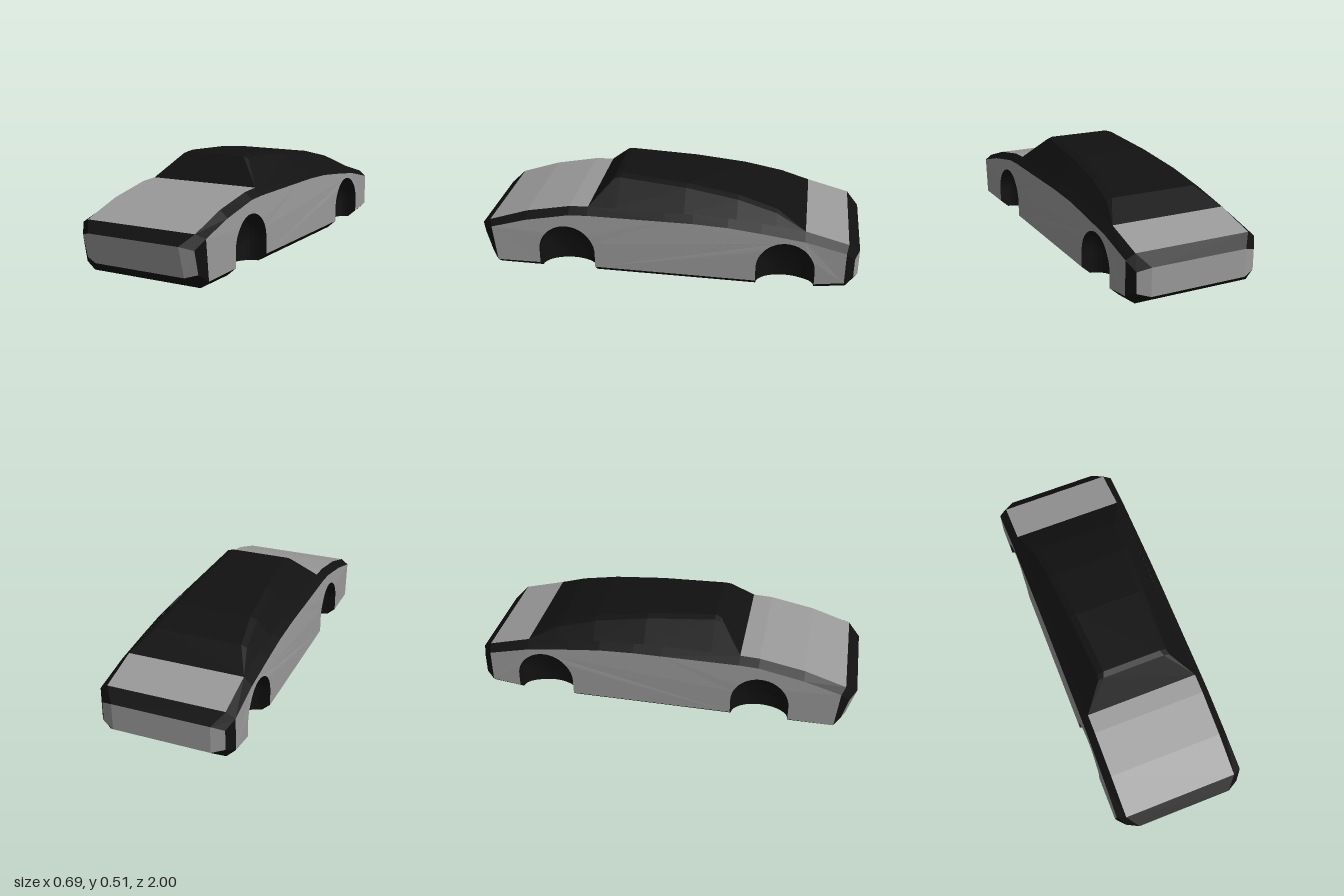
import * as THREE from 'three';

const grey = new THREE.MeshStandardMaterial({ color: 0x999999, side: THREE.DoubleSide });
grey.name = 'panel grey';
const black = new THREE.MeshStandardMaterial({ color: 0x111111, side: THREE.DoubleSide });
black.name = 'body black';

// Shoulder line, front to back: side panel top (z, y), then deck edge (z, y)
const SHOULDER = [
  [0.92, 0.235, 0.94, 0.255], [0.73, 0.29, 0.73, 0.325], [0.5, 0.335, 0.5, 0.37],
  [0.4, 0.34, 0.4, 0.375], [0, 0.34, 0, 0.375], [-0.15, 0.34, -0.15, 0.375],
  [-0.33, 0.333, -0.33, 0.368], [-0.5, 0.315, -0.5, 0.352],
  [-0.72, 0.288, -0.72, 0.328], [-0.93, 0.24, -0.94, 0.27],
];
const ARCHES = [0.515, -0.63]; // wheel arch centres in z
const R = 0.15, ARCH_Y = 0.12, DEPTH = 0.1, HALF = 0.3;

const sideX = (y) => 0.345 - Math.max(0, y - 0.22) * 0.067;
const floorY = (z) => Math.max(0, (-0.72 - z) * 0.136);
const sillY = (z) => floorY(z) + 0.04;

// Deck edge height at z
function deckY(z) {
  for (let i = 1; i < SHOULDER.length; i++) {
    const [, , za, ya] = SHOULDER[i - 1], [, , zb, yb] = SHOULDER[i];
    if (z >= zb) return ya + (yb - ya) * (za - z) / (za - zb);
  }
  return 0.27;
}

// Flat-faced surface through rows of points
function grid(rows) {
  const pos = rows.flat(2), n = rows[0].length, index = [];
  for (let i = 0; i < rows.length - 1; i++)
    for (let j = 0; j < n - 1; j++) {
      const a = i * n + j, b = a + 1, c = a + n, d = c + 1;
      index.push(a, c, b, b, c, d);
    }
  let g = new THREE.BufferGeometry();
  g.setAttribute('position', new THREE.Float32BufferAttribute(pos, 3));
  g.setIndex(index);
  g = g.toNonIndexed();
  g.computeVertexNormals();
  return g;
}

// Outline of a wheel arch as (dz, y), from its front foot to its rear foot
function archOutline() {
  const pts = [[R, 0]];
  for (let i = 0; i <= 24; i++) {
    const t = Math.PI * i / 24;
    pts.push([R * Math.cos(t), ARCH_Y + R * Math.sin(t)]);
  }
  pts.push([-R, 0]);
  return pts;
}

export function createModel() {
  const model = new THREE.Group();
  model.name = 'car';
  const add = (name, geometry, material, parent = model) => {
    const m = new THREE.Mesh(geometry, material);
    m.name = name;
    parent.add(m);
  };

  // Hood and rear deck
  const deckRows = (from, to) => SHOULDER.slice(from, to).map(([, , z, y]) => [[-HALF, y, z], [HALF, y, z]]);
  add('hood', grid(deckRows(0, 4)), grey);
  add('rearDeck', grid(deckRows(8, 10)), grey);

  // Cabin: sloping sides, bevelled roof edges, windscreen and fastback
  const roof = [[0.4, 0.375, 0], [0.28, 0.505, 0.01], [0.25, 0.513, 0.012], [-0.1, 0.49, 0.012],
    [-0.37, 0.455, 0.012], [-0.57, 0.405, 0.01], [-0.72, 0.328, 0]];
  add('cabin', grid(roof.map(([z, y, bevel]) => {
    const base = deckY(z);
    const w = HALF - 0.88 * (y - bevel - base), inner = w - bevel * 2.9;
    return [[-HALF, base, z], [-w, y - bevel, z], [-inner, y, z],
      [inner, y, z], [w, y - bevel, z], [HALF, base, z]];
  })), black);

  // Body sides, mirrored
  for (const s of [1, -1]) {
    const side = new THREE.Group();
    side.name = s > 0 ? 'leftSide' : 'rightSide';
    model.add(side);

    // Side panel with arch cut-outs
    const outline = SHOULDER.map(([z, y]) => new THREE.Vector2(z, y));
    outline.push(new THREE.Vector2(-0.93, 0.07));
    for (const zc of [...ARCHES].reverse()) {
      if (zc < 0) outline.push(new THREE.Vector2(zc - R, sillY(zc - R)));
      for (const [dz, y] of archOutline().slice(1, -1).reverse()) outline.push(new THREE.Vector2(zc + dz, y));
      outline.push(new THREE.Vector2(zc + R, 0.04));
      if (zc < 0) outline.push(new THREE.Vector2(ARCHES[0] - R, 0.04));
    }
    outline.push(new THREE.Vector2(0.9, 0.037));
    const panel = new THREE.ShapeGeometry(new THREE.Shape(outline)).toNonIndexed();
    const p = panel.attributes.position;
    for (let i = 0; i < p.count; i++) {
      const z = p.getX(i), y = p.getY(i);
      p.setXYZ(i, s * sideX(y), y, z);
    }
    // Mirror the winding so that both panels face outwards
    if (s > 0) {
      for (let i = 0; i < p.count; i += 3) {
        const a = new THREE.Vector3().fromBufferAttribute(p, i);
        const b = new THREE.Vector3().fromBufferAttribute(p, i + 1);
        p.setXYZ(i, b.x, b.y, b.z);
        p.setXYZ(i + 1, a.x, a.y, a.z);
      }
    }
    panel.computeVertexNormals();
    add('sidePanel', panel, grey, side);

    // Shoulder bevel
    add('shoulder', grid(SHOULDER.map(([z, y, zt, yt]) => [[s * sideX(y), y, z], [s * HALF, yt, zt]])), black, side);

    // Sill bevel between the arches
    for (const [a, b] of [[0.9, ARCHES[0] + R], [ARCHES[0] - R, ARCHES[1] + R], [ARCHES[1] - R, -0.93]])
      add('sill', grid([a, b].map((z) => [
        [s * 0.345, z === -0.93 ? 0.07 : sillY(z), z],
        [s * HALF, floorY(z), z === -0.93 ? -0.94 : z]])), black, side);

    // Rounded wheel wells
    for (const zc of ARCHES) {
      const rings = [[null, 1, 0.04], [HALF, 1, 0]];
      for (let i = 1; i <= 8; i++) {
        const t = Math.PI / 2 * i / 8;
        rings.push([HALF - DEPTH * Math.sin(t), Math.cos(t), 0]);
      }
      add('wheelWell', grid(rings.map(([x, k, lift]) => archOutline().map(([dz, y]) => {
        const z = zc + dz * k, h = Math.max(y * k, floorY(z) + lift);
        return [s * (x ?? sideX(h)), h, z];
      }))), black, side);
    }
  }

  // Underside, narrowed around the wheel wells
  const zs = [0.9, 0.72, -0.72, -0.94];
  for (const zc of ARCHES)
    for (let i = 0; i <= 24; i++) zs.push(zc + R * Math.cos(Math.PI * i / 24));
  zs.sort((a, b) => b - a);
  const halfWidth = (z) => ARCHES.reduce((w, zc) =>
    w - DEPTH * Math.sqrt(Math.max(0, 1 - ((z - zc) / R) ** 2)), HALF);
  const floor = (from, to) => grid(zs.filter((z) => z <= from && z >= to)
    .map((z) => [[halfWidth(z), floorY(z), z], [-halfWidth(z), floorY(z), z]]));
  add('frontFloor', floor(0.9, 0.72), black);
  add('floor', floor(0.72, -0.72), grey);
  add('rearFloor', floor(-0.72, -0.94), black);

  // Nose and tail: a grey panel with bent-back ends inside a black surround.
  // Corners run from the upper inner one down the side to the lower inner one.
  const end = (name, inner, outer) => {
    const loop = (pts) => {
      const all = [...pts, ...pts.map(([x, y, z]) => [-x, y, z]).reverse()];
      return [...all, all[0]];
    };
    const [a, b, c, d] = inner;
    const flip = ([x, y, z]) => [-x, y, z];
    add(name + 'Panel', grid([[flip(b), flip(a), a, b], [flip(c), flip(d), d, c]]), grey);
    add(name + 'Surround', grid([loop(inner), loop(outer)]), black);
  };
  end('nose',
    [[0.25, 0.205, 1], [0.312, 0.187, 0.965], [0.312, 0.07, 0.935], [0.25, 0.052, 0.955]],
    [[HALF, 0.255, 0.94], [sideX(0.235), 0.235, 0.92], [0.345, 0.037, 0.9], [HALF, 0, 0.9]]);
  end('tail',
    [[0.25, 0.215, -1], [0.312, 0.195, -0.975], [0.312, 0.092, -0.975], [0.25, 0.075, -1]],
    [[HALF, 0.27, -0.94], [sideX(0.24), 0.24, -0.93], [0.345, 0.07, -0.93], [HALF, 0.03, -0.94]]);

  return model;
}
